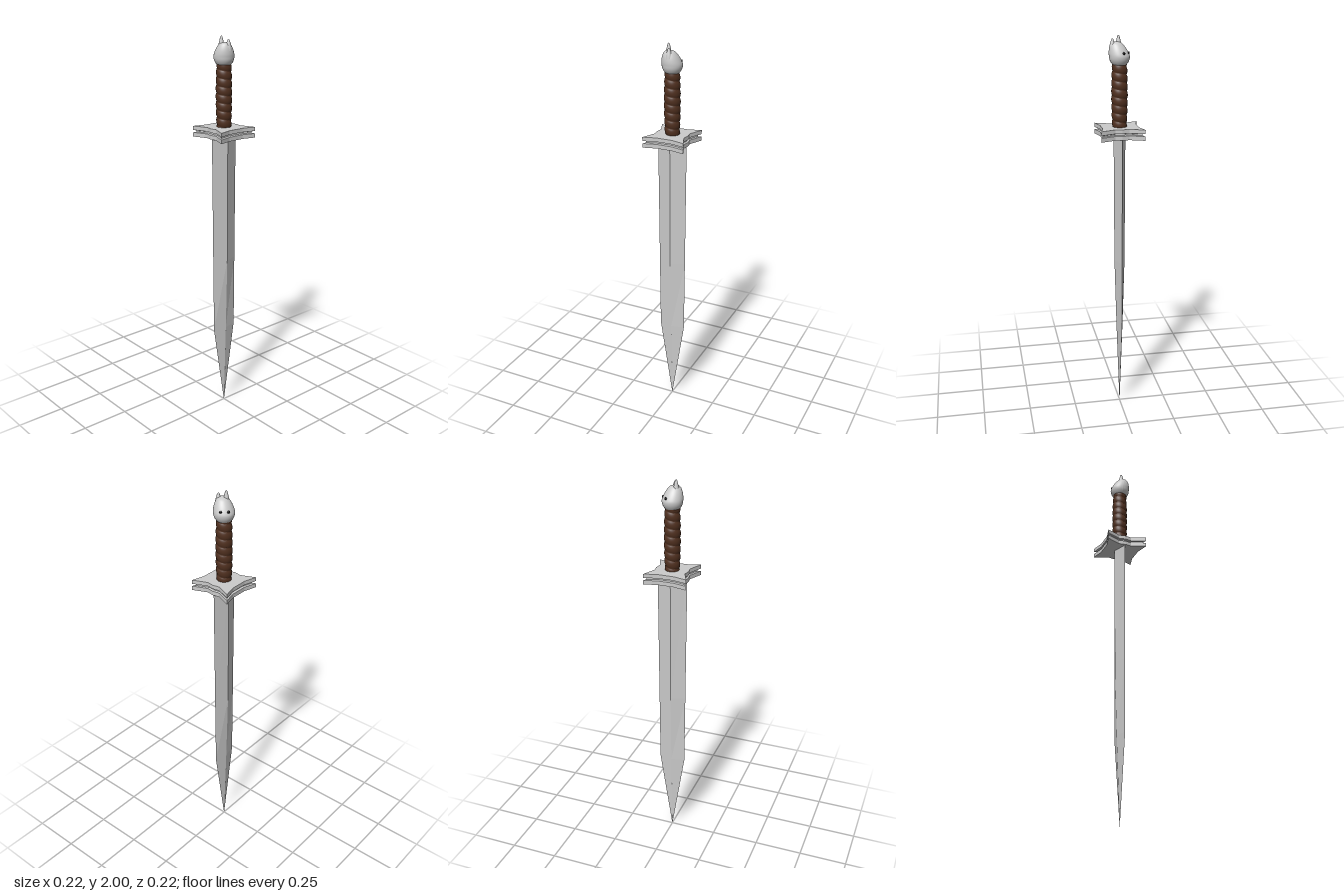
import * as THREE from 'three';

const grey = (flat) => new THREE.MeshStandardMaterial({ color: 0xcccccc, flatShading: flat });

function add(group, name, geometry, material) {
  const mesh = new THREE.Mesh(geometry, material);
  mesh.name = name;
  group.add(mesh);
  return mesh;
}

// Closed solid through rings of [x, y, z] points, listed from bottom to top
function loft(rings) {
  const pos = [];
  const tri = (...points) => points.forEach((p) => pos.push(...p));
  const n = rings[0].length;
  const centre = (ring) => [0, ring[0][1], 0];
  const top = rings[rings.length - 1];
  for (let i = 0; i < n; i++) {
    const j = (i + 1) % n;
    for (let k = 0; k < rings.length - 1; k++) {
      const a = rings[k], b = rings[k + 1];
      tri(a[i], b[i], a[j]);
      tri(a[j], b[i], b[j]);
    }
    tri(centre(rings[0]), rings[0][i], rings[0][j]);
    tri(centre(top), top[j], top[i]);
  }
  const g = new THREE.BufferGeometry();
  g.setAttribute('position', new THREE.Float32BufferAttribute(pos, 3));
  g.computeVertexNormals();
  return g;
}

export function createModel() {
  const sword = new THREE.Group();
  sword.name = 'sword';

  // Blade: diamond section, [height, half thickness, half width]
  const sections = [
    [0, 0.0005, 0.0005], [0.45, 0.016, 0.07], [0.84, 0.027, 0.073], [1.51, 0.03, 0.078],
  ];
  add(sword, 'blade', loft(sections.map(([y, t, w]) => [
    [t, y, 0], [0, y, w], [-t, y, 0], [0, y, -w],
  ])), grey(true));

  // Guard: four-pointed plate with a groove around its rim
  const half = [[0.092, -0.042], [0.092, 0.042], [0.11, 0.11], [0.035, 0.079],
    [0, 0.085], [-0.035, 0.079], [-0.11, 0.11]];
  const outline = [...half];
  for (const [x, z] of half.slice(0, 6)) outline.push([-x, -z]);
  // Close the remaining corner
  outline.splice(half.length, outline.length - half.length,
    [-0.092, 0.042], [-0.092, -0.042], [-0.11, -0.11],
    [-0.035, -0.079], [0, -0.085], [0.035, -0.079], [0.11, -0.11]);
  const levels = [[1.5, 1], [1.521, 1], [1.524, 0.88], [1.531, 0.88], [1.534, 1], [1.554, 1]];
  add(sword, 'guard', loft(levels.map(([y, s]) =>
    outline.map(([x, z]) => [x * s, y, z * s]))), grey(true));

  // Grip: slightly swollen handle with a spiral leather wrap
  const grip = new THREE.CylinderGeometry(1, 1, 0.32, 40, 120, true);
  const p = grip.attributes.position;
  for (let i = 0; i < p.count; i++) {
    const t = p.getY(i) / 0.32 + 0.5;
    const angle = Math.atan2(p.getZ(i), p.getX(i));
    const ridge = Math.abs(Math.sin((t * 8 * Math.PI * 2 - angle) / 2));
    const r = 0.031 + 0.004 * Math.sin(t * Math.PI) + 0.006 * Math.sqrt(ridge);
    p.setXYZ(i, r * Math.cos(angle), 1.55 + 0.32 * t, r * Math.sin(angle));
  }
  grip.computeVertexNormals();
  add(sword, 'grip', grip, new THREE.MeshStandardMaterial({ color: 0x50301f }));

  // Pommel: an animal head looking towards the back corner, crown leaning away
  const pommel = new THREE.Group();
  pommel.name = 'pommel';
  sword.add(pommel);
  const profile = new THREE.SplineCurve([
    [0.001, 1.853], [0.03, 1.857], [0.046, 1.877], [0.051, 1.9], [0.046, 1.925],
    [0.036, 1.948], [0.023, 1.964], [0.001, 1.97],
  ].map(([x, y]) => new THREE.Vector2(x, y))).getPoints(32);
  const head = new THREE.LatheGeometry(profile, 40);
  const h = head.attributes.position;
  for (let i = 0; i < h.count; i++) {
    const lean = Math.max(0, h.getY(i) - 1.9) * 0.23;
    h.setX(i, h.getX(i) + lean);
    h.setZ(i, h.getZ(i) + lean * 0.5);
  }
  head.computeVertexNormals();
  add(pommel, 'head', head, grey(false));

  // Ears: rounded cones, [x, z, tip height]
  const earProfile = new THREE.SplineCurve([
    [0.022, 0], [0.018, 0.35], [0.011, 0.72], [0.006, 0.93], [0.0005, 1],
  ].map(([x, y]) => new THREE.Vector2(x, y))).getPoints(14);
  for (const [x, z, tip] of [[0.002, 0.018, 2], [0.035, 0.001, 1.985]]) {
    const ear = add(pommel, 'ear', new THREE.LatheGeometry(earProfile, 20), grey(false));
    ear.position.set(x, 1.93, z);
    ear.scale.set(0.8, tip - 1.93, 0.8);
  }

  // Eyes
  for (const [x, z] of [[-0.042, -0.018], [-0.014, -0.043]]) {
    const eye = add(pommel, 'eye', new THREE.SphereGeometry(0.007, 14, 10),
      new THREE.MeshStandardMaterial({ color: 0x080808 }));
    eye.position.set(x, 1.917, z);
    eye.rotation.y = Math.atan2(x, z);
    eye.scale.z = 0.6;
  }
  return sword;
}
